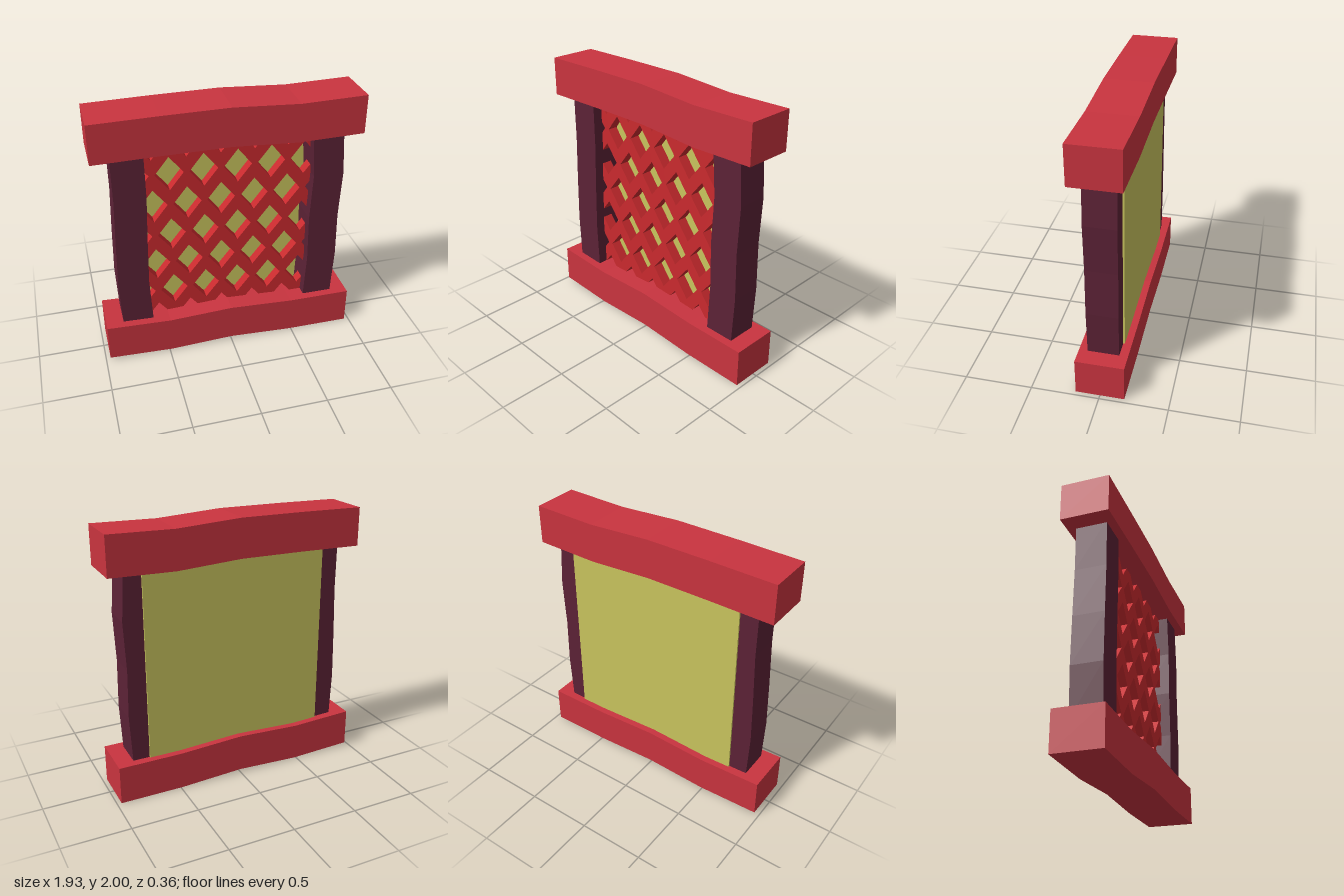
import * as THREE from 'three';

const material = (color) => new THREE.MeshStandardMaterial({ color, flatShading: true });

// Box with four segments along one axis; each station is shifted sideways to warp it.
function warpedBeam(name, size, axis, offsets, mat) {
  const segments = { x: [4, 1, 1], y: [1, 4, 1] }[axis];
  const geometry = new THREE.BoxGeometry(...size, ...segments);
  const length = axis === 'x' ? size[0] : size[1];
  const p = geometry.attributes.position;
  for (let i = 0; i < p.count; i++) {
    const along = axis === 'x' ? p.getX(i) : p.getY(i);
    const shift = offsets[Math.round((along / length + 0.5) * 4)];
    if (axis === 'x') p.setY(i, p.getY(i) + shift);
    else p.setX(i, p.getX(i) + shift);
  }
  geometry.computeVertexNormals();
  const mesh = new THREE.Mesh(geometry, mat);
  mesh.name = name;
  return mesh;
}

// Flat board pierced by staggered rows of diamonds.
function latticeGeometry(depth) {
  const shape = new THREE.Shape([
    new THREE.Vector2(-0.81, 0.08), new THREE.Vector2(0.825, 0.08),
    new THREE.Vector2(0.825, 1.9), new THREE.Vector2(-0.81, 1.9),
  ]);
  const halfW = 0.104, halfH = 0.132;
  for (let row = 0; row < 7; row++) {
    const y = 0.24 + row * 0.25;
    const start = row % 2 ? -0.668 : -0.544;
    for (let x = start; x < 0.72; x += 0.249) {
      shape.holes.push(new THREE.Path([
        new THREE.Vector2(x - halfW, y), new THREE.Vector2(x, y + halfH),
        new THREE.Vector2(x + halfW, y), new THREE.Vector2(x, y - halfH),
      ]));
    }
  }
  const geometry = new THREE.ExtrudeGeometry(shape, { depth, bevelEnabled: false });
  geometry.translate(0, 0, -depth / 2);
  return geometry;
}

export function createModel() {
  const model = new THREE.Group();
  const beamRed = material(0xc9343f);
  const postPurple = material(0x5c2236);

  // Horizontal beams, offsets give the centre height at each station
  const beamSize = [1.934, 0.288, 0.356];
  model.add(warpedBeam('topBeam', beamSize, 'x', [1.841, 1.851, 1.856, 1.829, 1.841], beamRed));
  model.add(warpedBeam('bottomBeam', beamSize, 'x', [0.166, 0.147, 0.17, 0.145, 0.144], beamRed));

  // Upright posts, offsets give the centre x from bottom to top
  const posts = [
    ['rightPost', [-0.72, -0.735, -0.726, -0.713, -0.716]],
    ['leftPost', [0.725, 0.742, 0.734, 0.749, 0.724]],
  ];
  for (const [name, offsets] of posts) {
    const post = warpedBeam(name, [0.23, 1.44, 0.23], 'y', offsets, postPurple);
    post.position.y = 1;
    model.add(post);
  }

  // Diamond lattice between the posts
  const lattice = new THREE.Mesh(latticeGeometry(0.08), material(0xcb2a2e));
  lattice.name = 'lattice';
  model.add(lattice);

  // Thin panel fixed behind the posts
  const panel = new THREE.Mesh(new THREE.BoxGeometry(1.41, 1.7, 0.016), material(0xc9c55e));
  panel.name = 'backPanel';
  panel.position.set(0.01, 1, -0.119);
  model.add(panel);

  return model;
}
